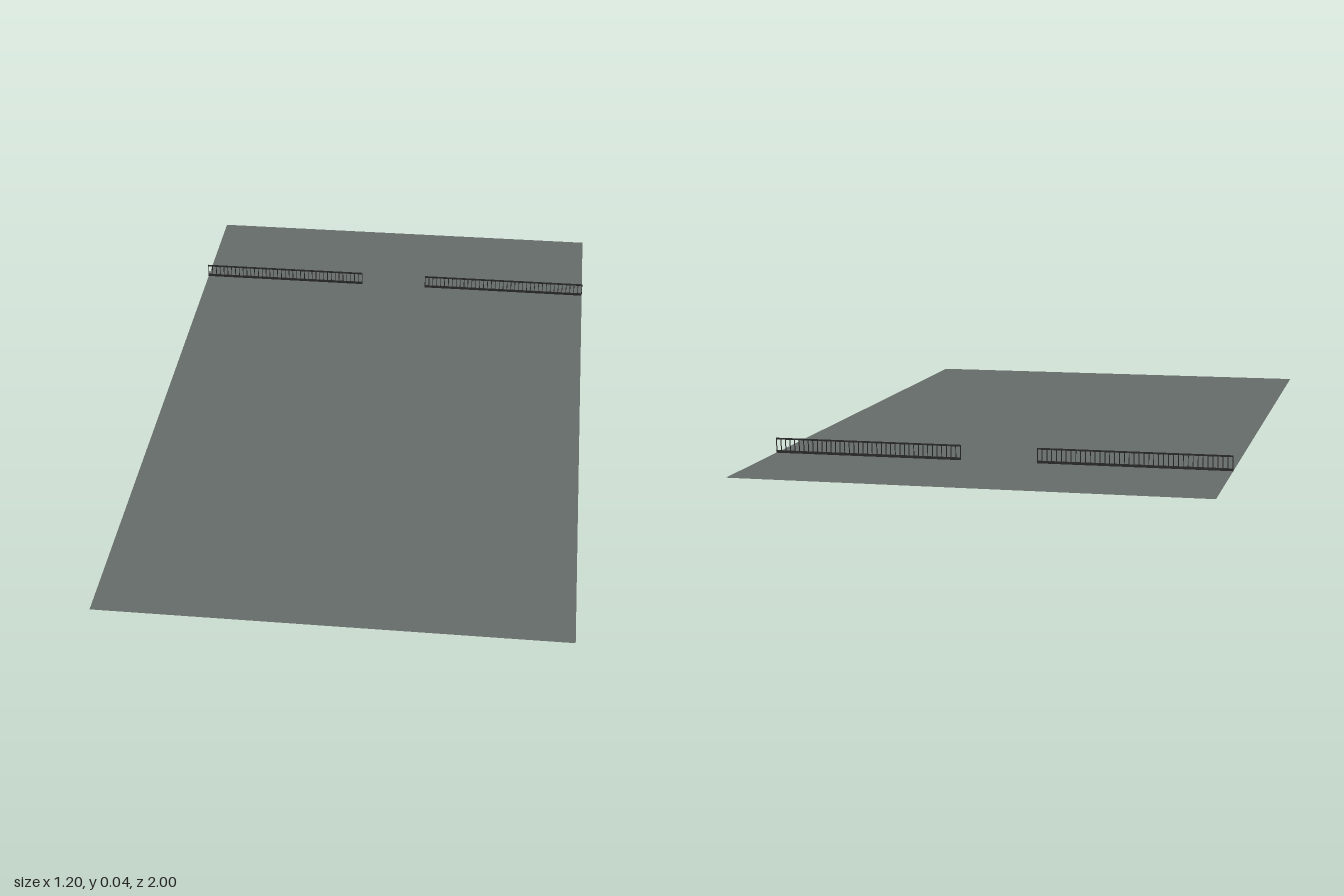
import * as THREE from 'three';

export function createModel() {
  const model = new THREE.Group();
  const ground = new THREE.MeshStandardMaterial({ color: 0x646b68, side: THREE.DoubleSide });
  ground.name = 'slateGrey';
  const iron = new THREE.MeshStandardMaterial({ color: 0x262626 });
  iron.name = 'darkIron';

  function box(parent, name, w, h, d, x, y, z) {
    const mesh = new THREE.Mesh(new THREE.BoxGeometry(w, h, d), iron);
    mesh.name = name;
    mesh.position.set(x, y, z);
    parent.add(mesh);
  }

  // Flat rectangular deck
  const deck = new THREE.Mesh(new THREE.PlaneGeometry(1.2, 2).rotateX(-Math.PI / 2), ground);
  deck.name = 'deck';
  deck.position.y = 0.0006;
  model.add(deck);

  // One railing on each side of the central gap
  const length = 0.5, bars = 40;
  for (const side of [-1, 1]) {
    const railing = new THREE.Group();
    railing.name = side > 0 ? 'leftRailing' : 'rightRailing';
    railing.position.set(side * 0.35, 0, -0.655);
    box(railing, 'bottomRail', length, 0.007, 0.004, 0, 0.0035, 0);
    box(railing, 'topRail', length, 0.004, 0.004, 0, 0.038, 0);
    // Evenly spaced upright bars
    for (let i = 0; i <= bars; i++) {
      const x = (i / bars - 0.5) * (length - 0.002);
      box(railing, 'upright', 0.002, 0.032, 0.002, x, 0.0215, 0);
    }
    model.add(railing);
  }
  return model;
}
